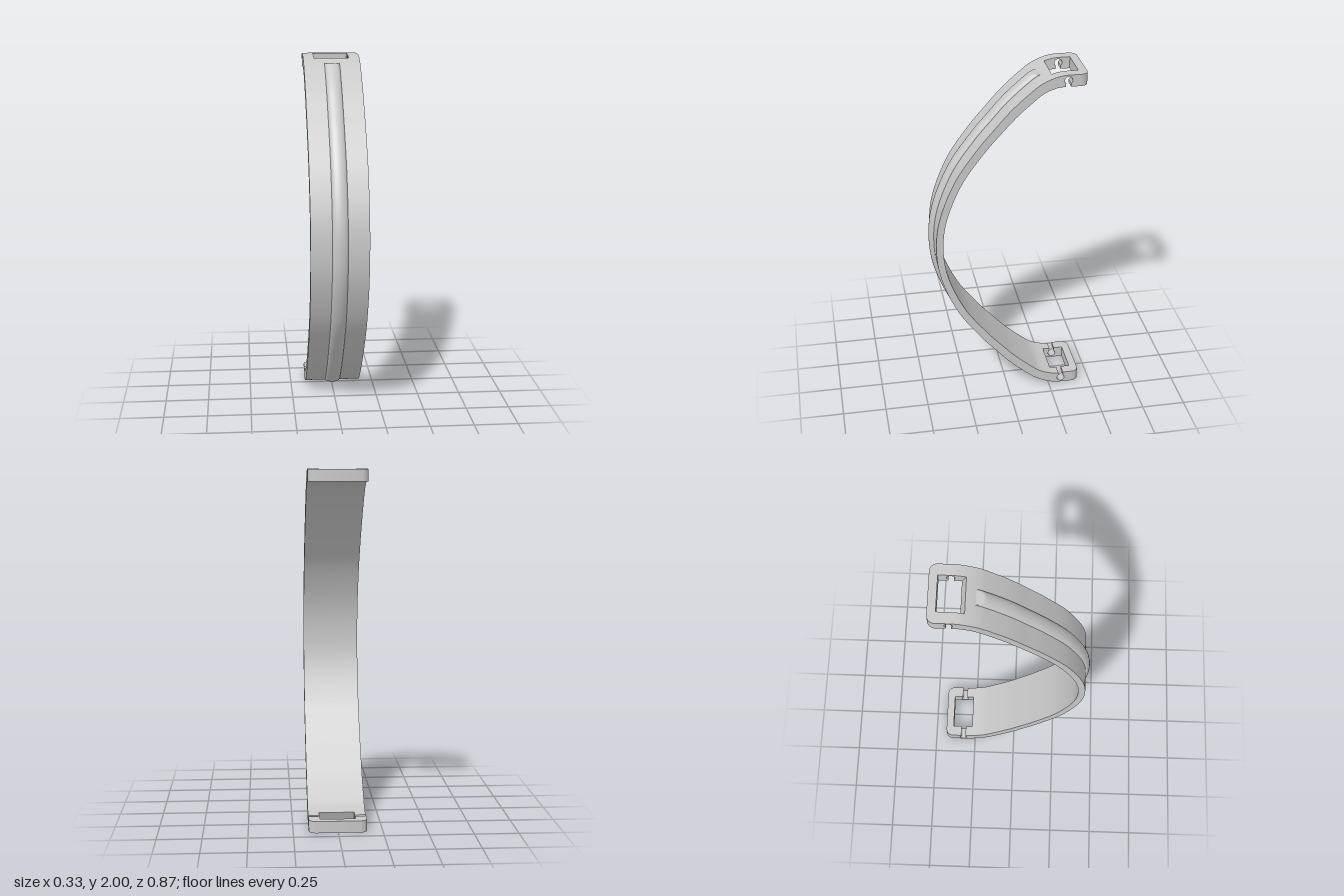
import * as THREE from 'three';
import { toCreasedNormals } from 'three/addons/utils/BufferGeometryUtils.js';

const HALF_W = 0.163;   // half width of the band
const HOLE_W = 0.1;     // half width of the strap hole
const TOP = 2;

// Upper halves of the band profile as [z, y]
const OUTER = [[-0.245, 1.986], [-0.195, 1.965], [-0.14, 1.929], [-0.02, 1.823],
  [0.078, 1.714], [0.17, 1.605], [0.294, 1.425], [0.385, 1.2], [0.411, 1]];
const INNER = [[-0.27, 1.931], [-0.217, 1.914], [-0.169, 1.885], [-0.055, 1.787],
  [0.043, 1.683], [0.137, 1.574], [0.257, 1.404], [0.346, 1.19], [0.371, 1]];

// Smooth curve through the half profile and its mirror image
function mirroredCurve(half) {
  const lower = half.slice(0, -1).reverse().map(([z, y]) => [z, TOP - y]);
  return new THREE.SplineCurve([...half, ...lower].map(([z, y]) => new THREE.Vector2(z, y)));
}

// Extrude a side profile (z, y) across the width from x0 to x1
function extrudeAcross(shape, x0, x1) {
  const geo = new THREE.ExtrudeGeometry(shape, { depth: x1 - x0, bevelEnabled: false, curveSegments: 16 });
  geo.rotateY(-Math.PI / 2).translate(x1, 0, 0);
  return toCreasedNormals(geo, 0.5);
}

// Raised rib: half-ellipse swept along the outer curve, ends cut off level
function ribGeometry(curve) {
  const STEPS = 140, SIDES = 16, LOW = 0.036;
  const pos = [], index = [];
  for (let i = 0; i <= STEPS; i++) {
    const p = curve.getPoint(i / STEPS);
    const t = curve.getTangent(i / STEPS);
    for (let j = 0; j <= SIDES; j++) {
      const a = (j / SIDES) * Math.PI;
      const h = 0.026 * Math.sin(a) - 0.002;
      const y = THREE.MathUtils.clamp(p.y + t.x * h, LOW, TOP - LOW);
      pos.push(0.044 * Math.cos(a), y, p.x - t.y * h);
      if (i < STEPS && j < SIDES) {
        const k = i * (SIDES + 1) + j, n = k + SIDES + 1;
        index.push(k, k + 1, n, k + 1, n + 1, n);
      }
    }
  }
  const geo = new THREE.BufferGeometry();
  geo.setAttribute('position', new THREE.Float32BufferAttribute(pos, 3));
  geo.setIndex(index);
  geo.computeVertexNormals();
  return geo;
}

// Side arm of the strap loop with a keyhole slot open at the bottom
function armShape() {
  const cz = -0.325, cy = 1.969, r = 0.022, gap = 0.014;
  const a = Math.asin(gap / r);
  const s = new THREE.Shape();
  s.moveTo(-0.245, 1.986);
  s.quadraticCurveTo(-0.285, 2, -0.33, TOP);
  s.lineTo(-0.39, TOP);
  s.lineTo(-0.39, 1.933);
  s.lineTo(cz - gap, 1.933);
  s.absarc(cz, cy, r, -Math.PI / 2 - a, -Math.PI / 2 + a, true);
  s.lineTo(cz + gap, 1.935);
  s.lineTo(-0.27, 1.931);
  return s;
}

// End bar of the loop with rounded outer corners
function endBarGeometry() {
  const r = 0.042, back = 0.435;
  const s = new THREE.Shape();
  s.moveTo(-HALF_W, 0.39);
  s.lineTo(HALF_W, 0.39);
  s.lineTo(HALF_W, back - r);
  s.absarc(HALF_W - r, back - r, r, 0, Math.PI / 2, false);
  s.absarc(-HALF_W + r, back - r, r, Math.PI / 2, Math.PI, false);
  const geo = new THREE.ExtrudeGeometry(s, { depth: 0.067, bevelEnabled: false, curveSegments: 12 });
  geo.rotateX(-Math.PI / 2).translate(0, 1.933, 0);
  return toCreasedNormals(geo, 0.5);
}

export function createModel() {
  const model = new THREE.Group();
  model.name = 'curvedHandle';
  const grey = new THREE.MeshStandardMaterial({ color: 0xc8c8c8, side: THREE.DoubleSide });
  grey.name = 'grey';

  const add = (parent, name, geo) => {
    const mesh = new THREE.Mesh(geo, grey);
    mesh.name = name;
    parent.add(mesh);
  };

  // Curved band
  const outer = mirroredCurve(OUTER);
  const inner = mirroredCurve(INNER);
  const outline = [...outer.getPoints(96), ...inner.getPoints(96).reverse()];
  add(model, 'band', extrudeAcross(new THREE.Shape(outline), -HALF_W, HALF_W));

  // Rib along the middle of the outer face
  add(model, 'rib', ribGeometry(outer));

  // Strap loops at both ends, the lower one turned over
  for (const name of ['upperLoop', 'lowerLoop']) {
    const loop = new THREE.Group();
    loop.name = name;
    add(loop, 'leftArm', extrudeAcross(armShape(), HOLE_W, HALF_W));
    add(loop, 'rightArm', extrudeAcross(armShape(), -HALF_W, -HOLE_W));
    add(loop, 'endBar', endBarGeometry());
    if (name === 'lowerLoop') {
      loop.rotation.z = Math.PI;
      loop.position.y = TOP;
    }
    model.add(loop);
  }
  return model;
}
